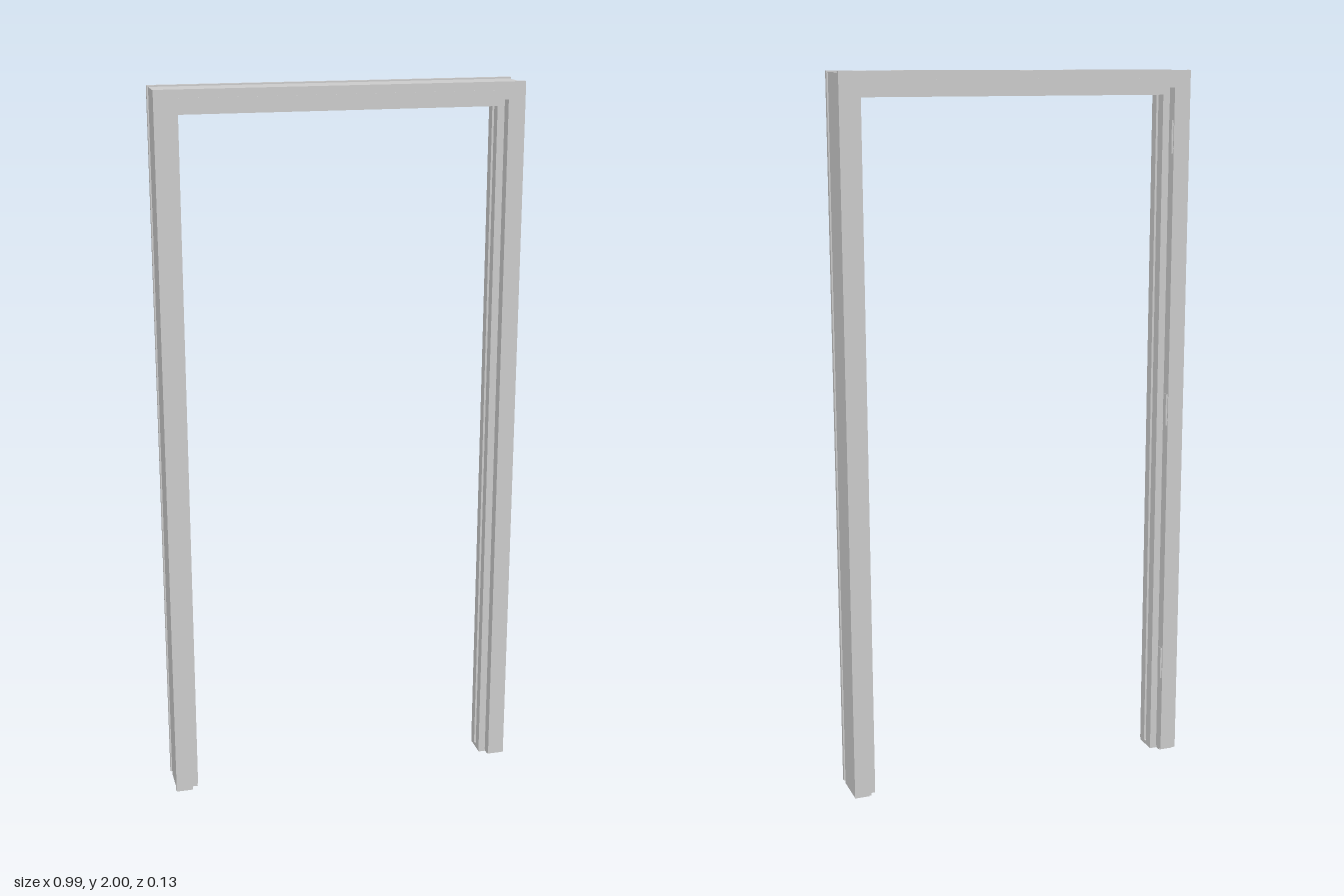
import * as THREE from 'three';

const W = 0.497, H = 2, Z = 0.066, FOOT = 0.008;
const metal = new THREE.MeshStandardMaterial({ color: 0xcccccc, flatShading: true });

// Half of the frame section: [distance in from the outer edge, z]
const half = [
  [0.004, 0.054], [0, 0.054], [0, Z], [0.047, Z], [0.047, 0.035],
  [0.067, 0.035], [0.067, 0.008], [0.061, 0.008],
];
const section = [...half, ...half.map(([d, z]) => [d, -z]).reverse()];

// Sweep the section up one jamb, across the head and down the other, with mitred corners
function frameGeometry() {
  const stations = [
    ([d, z]) => [-W + d, FOOT, z],
    ([d, z]) => [-W + d, H - d, z],
    ([d, z]) => [W - d, H - d, z],
    ([d, z]) => [W - d, FOOT, z],
  ];
  const pos = [];
  const tri = (a, b, c) => pos.push(...a, ...b, ...c);
  const n = section.length;
  for (let s = 0; s < 3; s++) {
    for (let i = 0; i < n; i++) {
      const p = section[i], q = section[(i + 1) % n];
      const a = stations[s](p), b = stations[s](q);
      const c = stations[s + 1](q), d = stations[s + 1](p);
      tri(a, c, b);
      tri(a, d, c);
    }
  }
  // end caps, turned to face down
  const faces = THREE.ShapeUtils.triangulateShape(section.map(([d, z]) => new THREE.Vector2(d, z)), []);
  for (const end of [stations[0], stations[3]]) {
    for (const f of faces) {
      const [a, b, c] = f.map((i) => end(section[i]));
      const ny = (b[2] - a[2]) * (c[0] - a[0]) - (b[0] - a[0]) * (c[2] - a[2]);
      if (ny < 0) tri(a, b, c); else tri(a, c, b);
    }
  }
  const g = new THREE.BufferGeometry();
  g.setAttribute('position', new THREE.Float32BufferAttribute(pos, 3));
  // keep the surface facing outwards whichever way the section runs
  const p = g.attributes.position;
  const sideCount = 3 * n * 6;
  let volume = 0;
  const A = new THREE.Vector3(), B = new THREE.Vector3(), C = new THREE.Vector3();
  for (let i = 0; i < p.count; i += 3) {
    A.fromBufferAttribute(p, i); B.fromBufferAttribute(p, i + 1); C.fromBufferAttribute(p, i + 2);
    A.y -= FOOT; B.y -= FOOT; C.y -= FOOT;
    volume += A.dot(B.cross(C));
  }
  if (volume < 0) {
    for (let i = 0; i < sideCount; i += 3) {
      B.fromBufferAttribute(p, i + 1);
      C.fromBufferAttribute(p, i + 2);
      p.setXYZ(i + 1, C.x, C.y, C.z);
      p.setXYZ(i + 2, B.x, B.y, B.z);
    }
  }
  g.computeVertexNormals();
  return g;
}

export function createModel() {
  const group = new THREE.Group();
  const add = (name, geometry, x = 0, y = 0, z = 0) => {
    const mesh = new THREE.Mesh(geometry, metal);
    mesh.name = name;
    mesh.position.set(x, y, z);
    group.add(mesh);
    return mesh;
  };
  const box = (name, w, h, d, x, y, z) => add(name, new THREE.BoxGeometry(w, h, d), x, y, z);

  add('doorFrame', frameGeometry());

  // Feet set in from the jamb faces
  for (const s of [-1, 1]) {
    box('footPlate', 0.041, 0.012, 0.106, s * (W - 0.0245), 0.006, 0);
    box('footStop', 0.022, 0.012, 0.068, s * (W - 0.055), 0.006, 0);
  }

  // Slim strips along the head, front and back
  for (const s of [-1, 1]) {
    box('headStrip', 0.92, 0.012, 0.001, 0, 1.972, s * Z);
  }

  // Hinge plates with knuckles in the rear rabbet
  for (const y of [0.28, 1.05, 1.82]) {
    box('hingePlate', 0.002, 0.09, 0.026, -W + 0.0475, y, -0.05);
    add('hingeKnuckle', new THREE.CylinderGeometry(0.003, 0.003, 0.09, 10), -W + 0.05, y, -0.062);
  }

  // Strike plate on the opposite jamb
  box('strikePlate', 0.002, 0.07, 0.022, W - 0.0475, 0.92, -0.05);

  return group;
}
